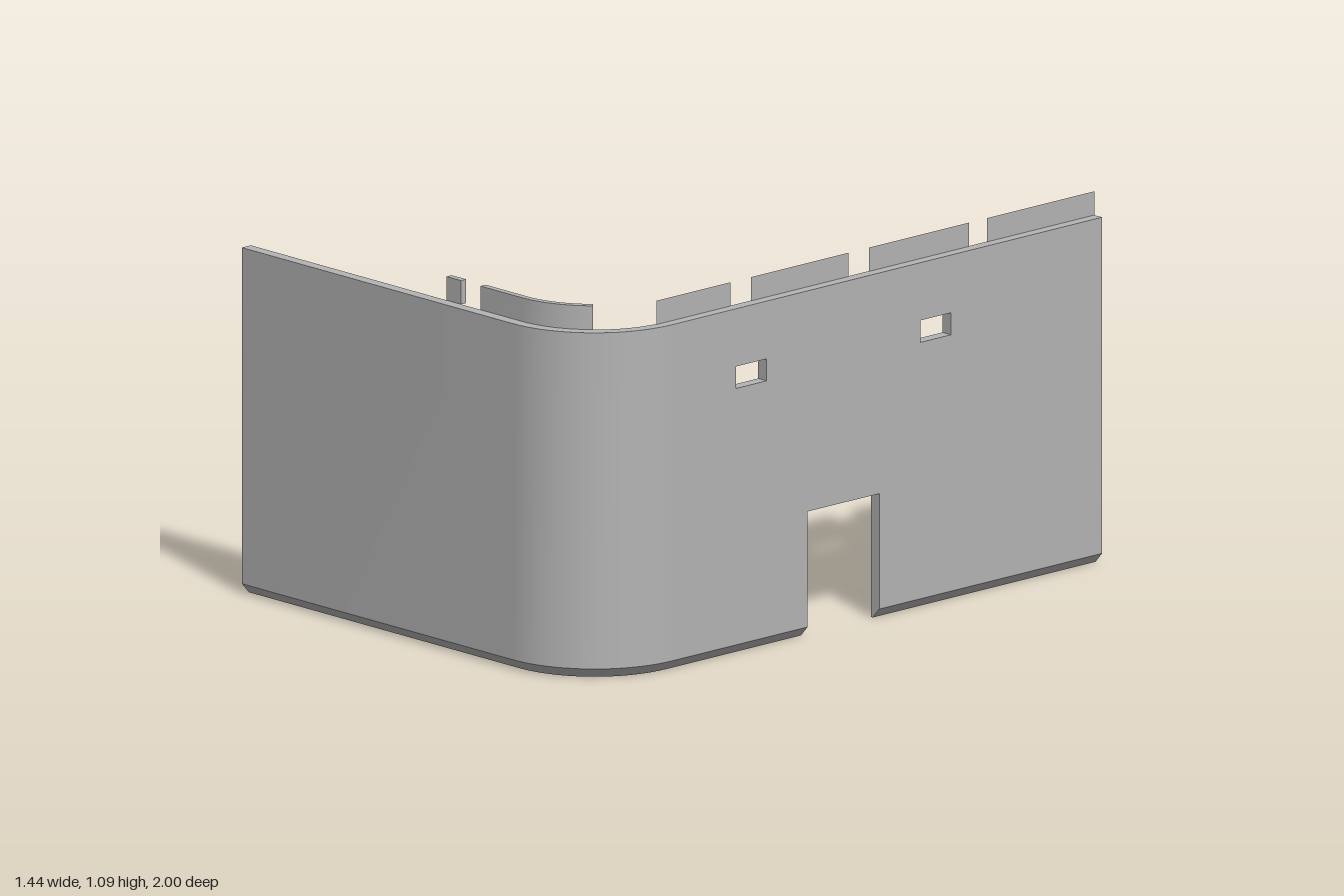
import * as THREE from 'three';
import { toCreasedNormals } from 'three/addons/utils/BufferGeometryUtils.js';

const T = 0.035, TOP = 1.02, SKIRT = 0.03, BEVEL = 0.027; // wall thickness, height, bottom chamfer
const R = 0.32, CX = 0.4, CZ = 0.68;                      // outer corner radius and centre

// Outer wall line as [x, z, normalX, normalZ]: along the front, then round the corner
function cornerPath(startX, angle, steps) {
  const path = [[startX, 1, 0, 1]];
  for (let i = 0; i <= steps; i++) {
    const s = Math.sin(angle * i / steps), c = Math.cos(angle * i / steps);
    path.push([CX + R * s, CZ + R * c, s, c]);
  }
  return path;
}
const sidePath = (z0, z1) => [[0.72, z0, 1, 0], [0.72, z1, 1, 0]];

// Sweeps a convex [inset, y] profile along a path, with closed ends
function sweep(path, profile) {
  const pos = [], n = profile.length, last = path.length - 1;
  const P = (i, j) => {
    const [x, z, nx, nz] = path[i], [d, y] = profile[j % n];
    return [x - nx * d, y, z - nz * d];
  };
  const tri = (a, b, c) => pos.push(...a, ...b, ...c);
  for (let i = 0; i < last; i++) {
    for (let j = 0; j < n; j++) {
      tri(P(i, j), P(i + 1, j), P(i + 1, j + 1));
      tri(P(i, j), P(i + 1, j + 1), P(i, j + 1));
    }
  }
  for (let j = 1; j < n - 1; j++) {
    tri(P(0, 0), P(0, j), P(0, j + 1));
    tri(P(last, 0), P(last, j + 1), P(last, j));
  }
  const g = new THREE.BufferGeometry();
  g.setAttribute('position', new THREE.Float32BufferAttribute(pos, 3));
  return toCreasedNormals(g, 0.5);
}

const points = (list) => list.map(([z, y]) => new THREE.Vector2(-z, y));
const rect = (z0, z1, y0, y1) => points([[z0, y0], [z1, y0], [z1, y1], [z0, y1]]);

// Extrudes a [z, y] outline with holes along x
function extrudeX(outline, holes, x, depth) {
  const shape = new THREE.Shape(points(outline));
  holes.forEach((h) => shape.holes.push(new THREE.Path(h)));
  const g = new THREE.ExtrudeGeometry(shape, { depth, bevelEnabled: false });
  return g.rotateY(Math.PI / 2).translate(x, 0, 0);
}

export function createModel() {
  const group = new THREE.Group();
  const stone = new THREE.MeshStandardMaterial({ color: 0xb4b4b4, side: THREE.DoubleSide });
  stone.name = 'stone grey';
  const add = (name, geometry) => {
    const mesh = new THREE.Mesh(geometry, stone);
    mesh.name = name;
    group.add(mesh);
  };

  // Front wall and rounded corner, chamfered along the outer foot
  add('frontWall', sweep(cornerPath(-0.72, Math.PI / 2, 20),
    [[0, SKIRT], [0, TOP], [T, TOP], [T, 0], [BEVEL, 0]]));

  // Side wall with doorway and two windows
  add('sideWall', extrudeX(
    [[CZ, SKIRT], [0.15, SKIRT], [0.15, 0.37], [-0.13, 0.37], [-0.13, SKIRT], [-1, SKIRT], [-1, TOP], [CZ, TOP]],
    [rect(0.43, 0.31, 0.785, 0.85), rect(-0.29, -0.41, 0.785, 0.85)], 0.72 - T, T));

  // Chamfered foot on both sides of the doorway
  for (const [z0, z1] of [[CZ, 0.15], [-0.13, -1]]) {
    add('sideFoot', sweep(sidePath(z0, z1), [[0, SKIRT], [T, SKIRT], [T, 0], [BEVEL, 0]]));
  }

  // Thin battlements on the side wall
  for (const [z0, z1] of [[0.71, 0.42], [0.34, -0.04], [-0.12, -0.51], [-0.58, -1]]) {
    add('sideBattlement', new THREE.PlaneGeometry(z0 - z1, 0.07)
      .rotateY(Math.PI / 2).translate(0.688, TOP + 0.035, (z0 + z1) / 2));
  }

  // Battlements along the inside of the front wall and corner
  const merlon = [[T, TOP], [T, 1.09], [T + 0.02, 1.09], [T + 0.02, TOP]];
  add('cornerBattlement', sweep(cornerPath(0.23, 0.8, 10), merlon));
  add('smallBattlement', sweep([[0.09, 1, 0, 1], [0.15, 1, 0, 1]], merlon));

  // Bracket on the inner face, sloped below and pierced from side to side
  add('wallBracket', extrudeX([[0.965, 0.46], [0.87, 0.56], [0.87, 0.69], [0.965, 0.69]],
    [rect(0.92, 0.893, 0.59, 0.65)], -0.25, 0.14));

  return group;
}
